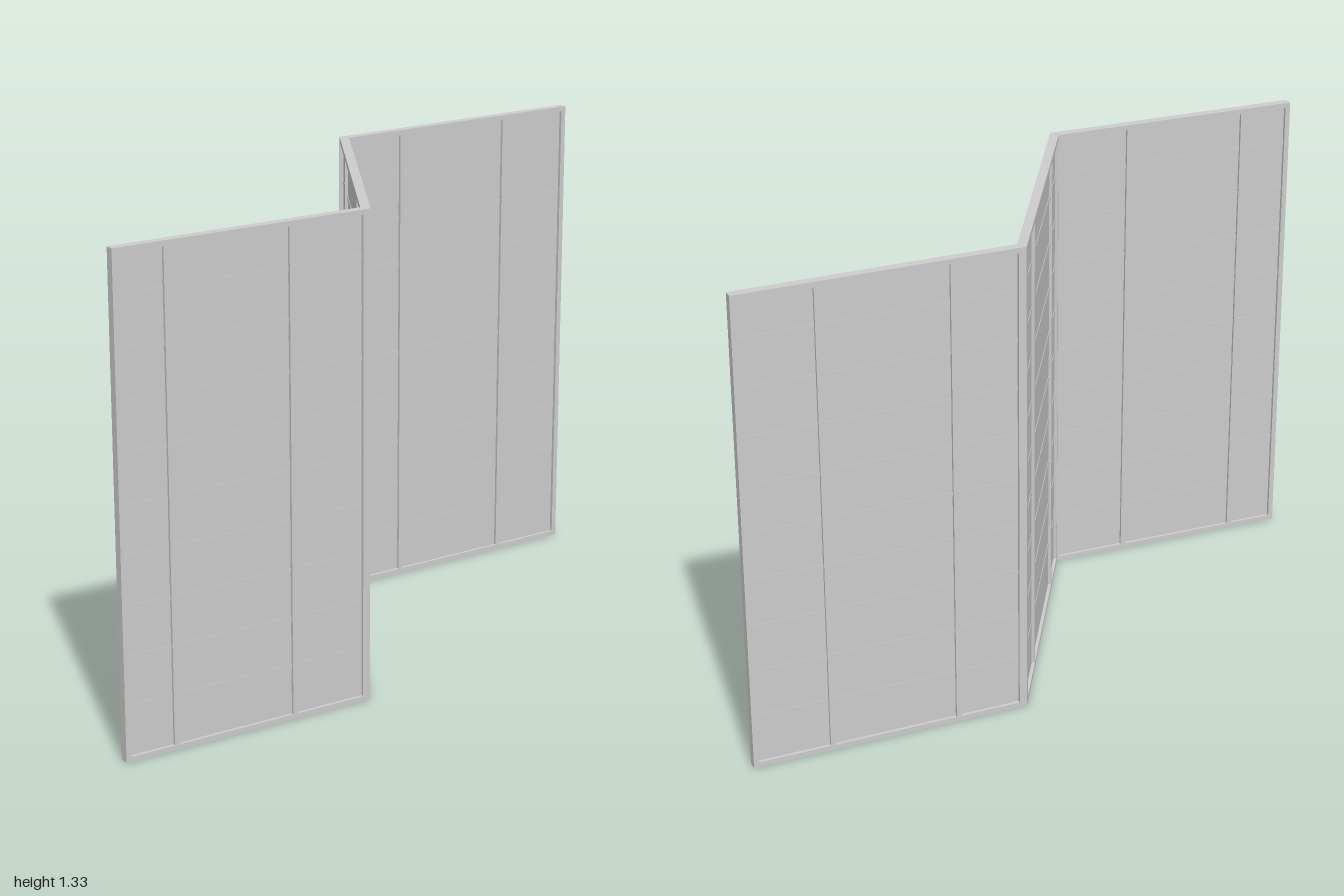
import * as THREE from 'three';

const HEIGHT = 1.33;
const HALF = 0.0125;   // half thickness of the frame
const RAIL = 0.014;    // width of the frame members
const material = new THREE.MeshStandardMaterial({ color: 0xcccccc });

// Fold points in plan, as (x, z)
const nodes = [[-0.9955, 0], [-0.33, 0.26], [0.28, -0.26], [0.9955, 0]].map(p => new THREE.Vector2(...p));
// Positions of the two uprights in each panel, given by x
const uprights = [[-0.86, -0.535], [-0.205, 0.13], [0.457, 0.79]];

const along = i => nodes[i + 1].clone().sub(nodes[i]).normalize();
const normalOf = d => new THREE.Vector2(-d.y, d.x);

// Mitre offset at a fold point
function mitre(i) {
  const a = normalOf(along(Math.max(i - 1, 0)));
  const b = normalOf(along(Math.min(i, nodes.length - 2)));
  const m = a.clone().add(b).normalize();
  return m.multiplyScalar(HALF / m.dot(a));
}

// Vertical prism over a plan outline
function prism(name, plan, y, height) {
  const shape = new THREE.Shape(plan.map(p => new THREE.Vector2(p.x, -p.y)));
  const geometry = new THREE.ExtrudeGeometry(shape, { depth: height, bevelEnabled: false });
  geometry.rotateX(-Math.PI / 2).translate(0, y, 0);
  const mesh = new THREE.Mesh(geometry, material);
  mesh.name = name;
  return mesh;
}

function box(name, w, h, d, x, y) {
  const mesh = new THREE.Mesh(new THREE.BoxGeometry(w, h, d), material);
  mesh.name = name;
  mesh.position.set(x, y, 0);
  return mesh;
}

function createPanel(i) {
  const panel = new THREE.Group();
  panel.name = 'panel' + (i + 1);
  const a = nodes[i], b = nodes[i + 1], dir = along(i), n = normalOf(dir).multiplyScalar(HALF);
  const length = a.distanceTo(b);
  const ma = mitre(i), mb = mitre(i + 1);
  const outline = [a.clone().add(ma), b.clone().add(mb), b.clone().sub(mb), a.clone().sub(ma)];

  // Top and bottom rails, mitred at the folds
  panel.add(prism('bottomRail', outline, 0, RAIL));
  panel.add(prism('topRail', outline, HEIGHT - RAIL, RAIL));

  // End posts
  const innerA = a.clone().addScaledVector(dir, RAIL);
  const innerB = b.clone().addScaledVector(dir, -RAIL);
  const postHeight = HEIGHT - 2 * RAIL;
  panel.add(prism('startPost', [outline[0], innerA.clone().add(n), innerA.clone().sub(n), outline[3]], RAIL, postHeight));
  panel.add(prism('endPost', [innerB.clone().add(n), outline[1], outline[2], innerB.clone().sub(n)], RAIL, postHeight));

  // Lattice and paper, laid out along the panel
  const infill = new THREE.Group();
  infill.name = 'infill';
  infill.position.set(a.x, 0, a.y);
  infill.rotation.y = Math.atan2(-dir.y, dir.x);
  const span = length - 2 * RAIL;
  infill.add(box('paper', span, postHeight, 0.007, length / 2, HEIGHT / 2));
  for (const x of uprights[i]) {
    infill.add(box('upright', 0.014, postHeight, 0.023, (x - a.x) / dir.x, HEIGHT / 2));
  }
  for (let k = 1; k <= 9; k++) {
    infill.add(box('crossbar', span, 0.013, 0.01, length / 2, 0.013 + k * 0.1328));
  }
  panel.add(infill);
  return panel;
}

export function createModel() {
  const model = new THREE.Group();
  model.name = 'foldingScreen';
  for (let i = 0; i < nodes.length - 1; i++) model.add(createPanel(i));
  return model;
}
